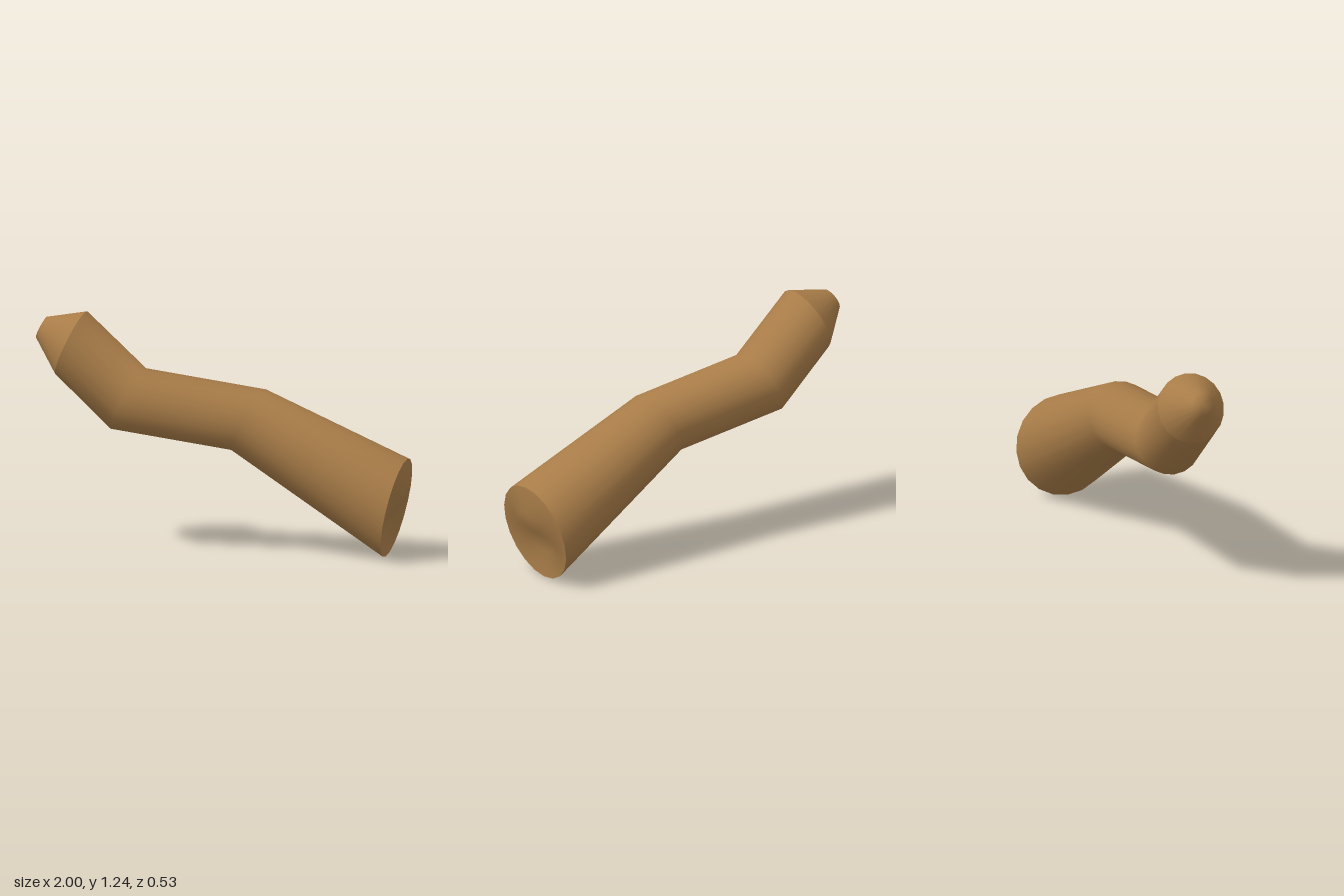
import * as THREE from 'three';
import { mergeVertices } from 'three/addons/utils/BufferGeometryUtils.js';

const SIDES = 20;

// Cross-sections in the xy plane: [top x, top y, bottom x, bottom y, half depth in z]
const BASE = [0.992, 0.523, 0.875, 0.003, 0.267];
const LOWER_BEND = [0.225, 0.865, 0.055, 0.54, 0.185];
const UPPER_BEND = [-0.42, 0.955, -0.592, 0.63, 0.185];
const NECK = [-0.735, 1.245, -0.89, 0.91, 0.185];
const TIP = [-0.945, 1.21, -1, 1.1, 0.062];
const TIP_CENTRE = [-0.972, 1.155, -0.972, 1.155, 0];
const BASE_INNER = [0.999, 0.38, 0.868, 0.146, 0.134];
const BASE_CENTRE = [0.934, 0.263, 0.934, 0.263, 0];

// Skin a row of elliptical cross-sections with smooth normals
function loft(sections) {
  const positions = [];
  const index = [];
  sections.forEach(([tx, ty, bx, by, depth], row) => {
    for (let j = 0; j < SIDES; j++) {
      const angle = (j / SIDES) * Math.PI * 2;
      const c = Math.cos(angle) / 2;
      positions.push(
        (tx + bx) / 2 + (tx - bx) * c,
        (ty + by) / 2 + (ty - by) * c,
        Math.sin(angle) * depth
      );
      if (row === sections.length - 1) continue;
      const a = row * SIDES + j;
      const b = row * SIDES + ((j + 1) % SIDES);
      index.push(a, a + SIDES, b, b, a + SIDES, b + SIDES);
    }
  });
  const geometry = new THREE.BufferGeometry();
  geometry.setAttribute('position', new THREE.Float32BufferAttribute(positions, 3));
  geometry.setIndex(index);
  const welded = mergeVertices(geometry, 1e-5);
  welded.computeVertexNormals();
  return welded;
}

export function createModel() {
  const model = new THREE.Group();
  model.name = 'bentBranch';
  const wood = new THREE.MeshStandardMaterial({ color: 0xa87c48 });
  wood.name = 'wood';

  const add = (name, sections) => {
    const mesh = new THREE.Mesh(loft(sections), wood);
    mesh.name = name;
    model.add(mesh);
  };

  // Twice-bent trunk, its tapered tip and the slightly warped base face
  add('trunk', [BASE, LOWER_BEND, UPPER_BEND, NECK]);
  add('taperedTip', [NECK, TIP, TIP_CENTRE]);
  add('baseCap', [BASE_CENTRE, BASE_INNER, BASE]);

  return model;
}
